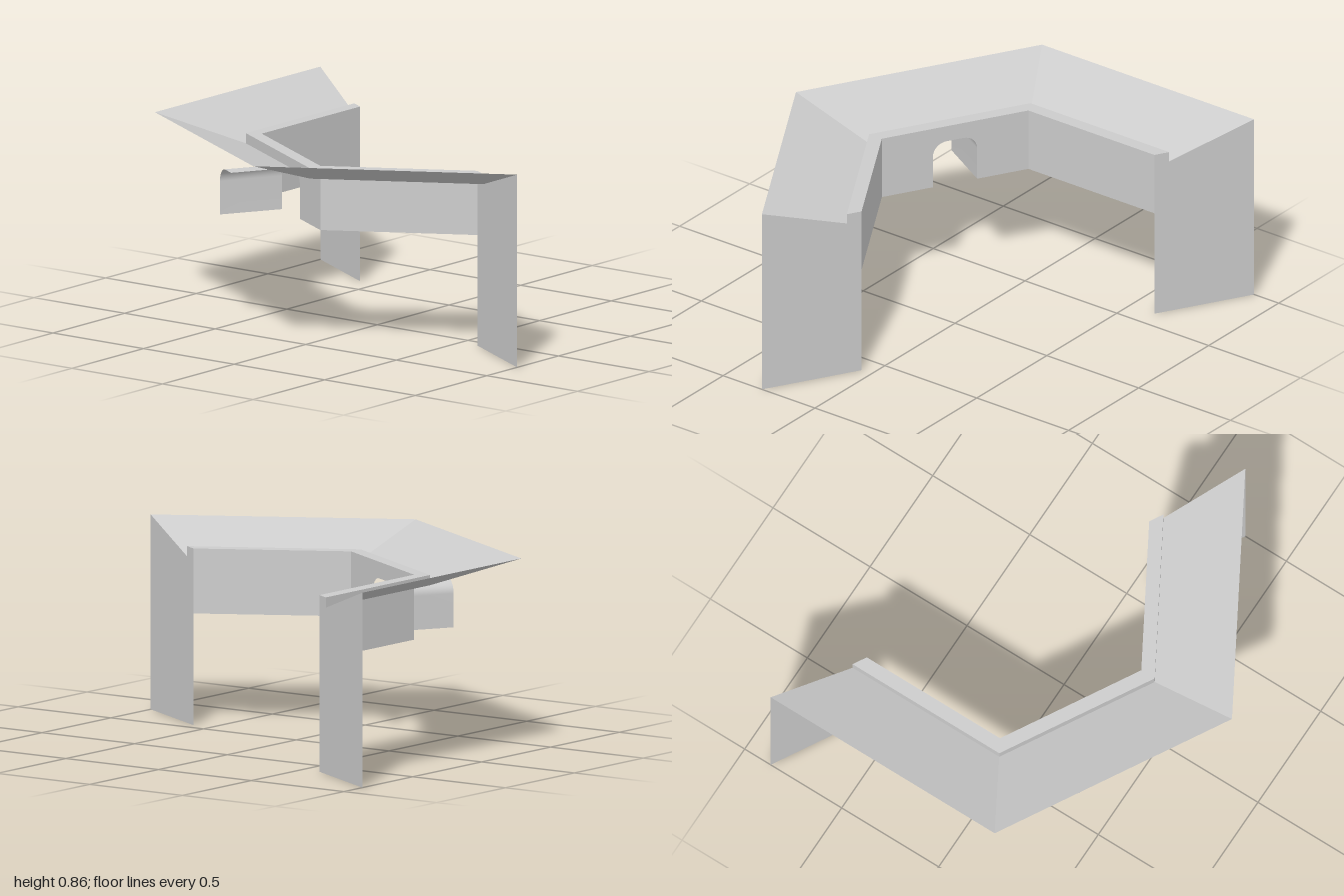
import * as THREE from 'three';

const rad = THREE.MathUtils.degToRad;
const CORNER = 2 / Math.sqrt(3);      // hexagon: corner radius per unit of apothem
const CENTRE_X = 1 / (2 * Math.sqrt(3));
const IN = 0.595, TROUGH = 0.655, OUT = 1;         // apothems
const WALL_BOTTOM = 0.49, LIP = 0.775, LOW = 0.73, EAVE = 0.855;

const material = new THREE.MeshStandardMaterial({
  color: 0xcccccc, flatShading: true, side: THREE.DoubleSide,
});
const smooth = new THREE.MeshStandardMaterial({ color: 0xcccccc, side: THREE.DoubleSide });

// Roof section as [apothem, height], from the inner lip to the outer eave
const roofProfile = [[IN, LIP], [TROUGH, LIP], [TROUGH, LOW], [OUT, EAVE]]
  .map(([r, y]) => new THREE.Vector2(r * CORNER, y));

// Doorway outline, from the +x jamb over the rounded top to the -x jamb
const HALF = 0.104, TOP = 0.702, ROUND = 0.064, STEPS = 8;
function archHalf() {
  const pts = [new THREE.Vector2(HALF, WALL_BOTTOM)];
  for (let i = 0; i <= STEPS; i++) {
    const a = (i / STEPS) * Math.PI / 2;
    pts.push(new THREE.Vector2(HALF - ROUND + ROUND * Math.cos(a), TOP - ROUND + ROUND * Math.sin(a)));
  }
  return pts;
}

function wallShape(withDoor) {
  const w = IN * CORNER / 2;
  const pts = [[-w, WALL_BOTTOM], [-w, LIP], [w, LIP], [w, WALL_BOTTOM]]
    .map(([x, y]) => new THREE.Vector2(x, y));
  if (withDoor) {
    const half = archHalf();
    pts.push(...half, ...half.map(p => new THREE.Vector2(-p.x, p.y)).reverse());
  }
  return new THREE.Shape(pts);
}

// Sheet swept straight back (-z) from an outline
function sweepBack(pts, depth) {
  const geo = new THREE.PlaneGeometry(1, 1, pts.length - 1, 1);
  const pos = geo.attributes.position;
  pts.forEach((p, i) => {
    pos.setXYZ(i, p.x, p.y, 0);
    pos.setXYZ(i + pts.length, p.x, p.y, -depth);
  });
  geo.computeVertexNormals();
  return geo;
}

export function createModel() {
  const model = new THREE.Group();
  const add = (parent, name, geo, mat = material) => {
    const mesh = new THREE.Mesh(geo, mat);
    mesh.name = name;
    parent.add(mesh);
    return mesh;
  };

  // Roof over three sides of the hexagon
  const roof = add(model, 'roof',
    new THREE.LatheGeometry(roofProfile, 3, rad(150), Math.PI).toNonIndexed());
  roof.position.x = CENTRE_X;

  // Inner walls, facing the courtyard; the middle one has the doorway
  ['backWall', 'doorWall', 'frontWall'].forEach((name, i) => {
    const phi = rad(180 + 60 * i);
    const wall = new THREE.Group();
    wall.name = name;
    wall.position.set(CENTRE_X + IN * Math.sin(phi), 0, IN * Math.cos(phi));
    wall.rotation.y = phi + Math.PI;
    add(wall, name + 'Panel', new THREE.ShapeGeometry(wallShape(i === 1)));
    if (i === 1) {
      // Passage lining: one jamb, its rounded corner and the flat ceiling
      const lining = archHalf();
      lining.push(new THREE.Vector2(ROUND - HALF + 0.012, TOP));
      add(wall, 'passageLining', sweepBack(lining, 0.29), smooth);
    }
    model.add(wall);
  });

  // Full-height end walls following the roof section
  const endShape = new THREE.Shape([
    new THREE.Vector2(IN * CORNER, 0), ...roofProfile, new THREE.Vector2(OUT * CORNER, 0),
  ]);
  [['backEndWall', 150], ['frontEndWall', 330]].forEach(([name, phi]) => {
    const end = add(model, name, new THREE.ShapeGeometry(endShape));
    end.position.x = CENTRE_X;
    end.rotation.y = rad(phi - 90);
  });

  return model;
}
